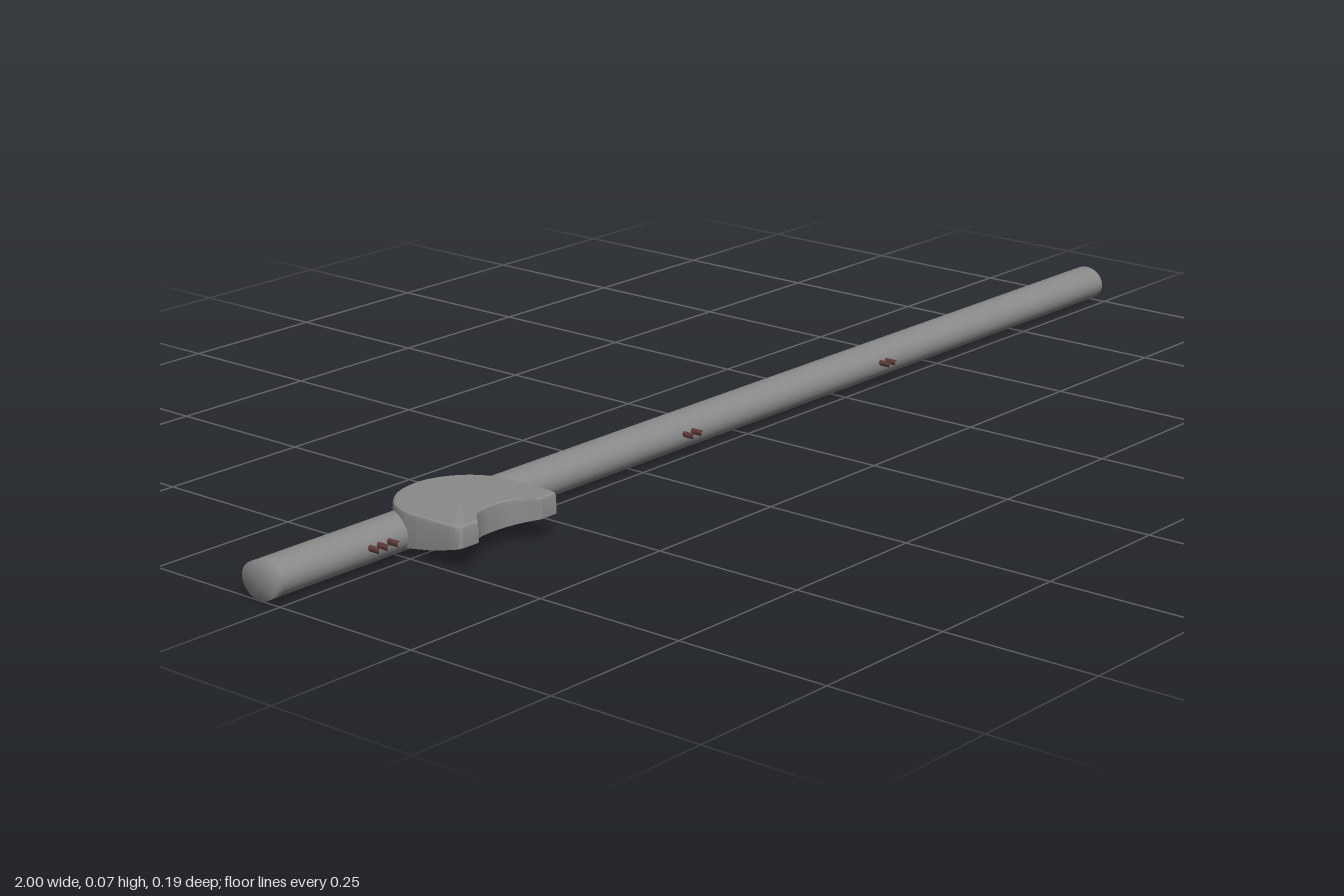
import * as THREE from 'three';
import { toCreasedNormals } from 'three/addons/utils/BufferGeometryUtils.js';

const grey = new THREE.MeshStandardMaterial({ color: 0x8a8a8a, side: THREE.DoubleSide });
const darkRed = new THREE.MeshStandardMaterial({ color: 0x5c3838 });

// Outline of the plate seen from above (x, z), with a concave notch in front
function plateOutline() {
  const s = new THREE.Shape();
  s.moveTo(0.103, 0.007);
  s.lineTo(0.103, 0.08);
  s.quadraticCurveTo(0.103, 0.094, 0.096, 0.095);
  s.lineTo(0.064, 0.096);
  s.bezierCurveTo(0.046, 0.071, 0.03, 0.062, 0, 0.062);
  s.bezierCurveTo(-0.03, 0.062, -0.046, 0.071, -0.064, 0.096);
  s.lineTo(-0.096, 0.095);
  s.quadraticCurveTo(-0.103, 0.094, -0.103, 0.08);
  s.lineTo(-0.103, 0.007);
  s.absarc(0, 0.007, 0.103, Math.PI, 2 * Math.PI, false);
  return s.getSpacedPoints(120).slice(0, -1);
}

// Height of the sloping underside along z, rounded up towards the back
function underside(z) {
  const p = [[-0.096, 0.037], [-0.088, 0.027], [-0.079, 0.019], [-0.068, 0.014],
    [-0.05, 0.012], [-0.01, 0.013], [0.045, 0.022], [0.096, 0.035]];
  const i = Math.max(1, p.findIndex(([pz]) => z <= pz + 1e-6));
  const t = (z - p[i - 1][0]) / (p[i][0] - p[i - 1][0]);
  return THREE.MathUtils.lerp(p[i - 1][1], p[i][1], t);
}

function plateGeometry() {
  const outline = plateOutline(), n = outline.length;
  // Rings from the top centre, over the bevelled rim and in along the underside
  const rings = [[0, 0.067], [0.95, 0.067], [0.985, 0.065], [1, 0.06]];
  for (const k of [1, 0.92, 0.84, 0.76, 0.65, 0.5, 0.25, 0]) rings.push([k, null]);
  const pos = [], index = [];
  rings.forEach(([k, y], i) => {
    outline.forEach((p, j) => {
      const z = p.y * k;
      pos.push(p.x * k, y ?? underside(z), z);
      if (i === rings.length - 1) return;
      const a = i * n + j, b = i * n + (j + 1) % n;
      if (i > 0) index.push(a, b, a + n);
      if (i < rings.length - 2) index.push(b, b + n, a + n);
    });
  });
  const g = new THREE.BufferGeometry();
  g.setAttribute('position', new THREE.Float32BufferAttribute(pos, 3));
  g.setIndex(index);
  return toCreasedNormals(g, 0.42);
}

// Thin pipe, closed with a soft-edged cap at -x and open at +x
function pipeGeometry() {
  const r = 0.034;
  const profile = [[0, -1], [r, -1], [r, -0.985], [r, 1]].map(([x, y]) => new THREE.Vector2(x, y));
  return new THREE.LatheGeometry(profile, 48).rotateZ(-Math.PI / 2).scale(1, 0.84, 1);
}

// Short pin that runs into the pipe and bends down at its inner end
function pinGeometry() {
  const path = new THREE.CurvePath();
  const v = (y, z) => new THREE.Vector3(0, y, z);
  path.add(new THREE.LineCurve3(v(0.034, 0.014), v(0.034, -0.03)));
  path.add(new THREE.QuadraticBezierCurve3(v(0.034, -0.03), v(0.034, -0.039), v(0.023, -0.039)));
  return new THREE.TubeGeometry(path, 20, 0.0045, 10, false);
}

export function createModel() {
  const model = new THREE.Group();
  const add = (name, geometry, material, x, y, z) => {
    const m = new THREE.Mesh(geometry, material);
    m.name = name;
    m.position.set(x, y, z);
    model.add(m);
  };

  add('pipe', pipeGeometry(), grey, 0, 0.0286, -0.04);

  // Notched rest plate
  add('restPlate', plateGeometry(), grey, -0.644, 0, 0);

  // Pins along the front of the pipe
  const pin = pinGeometry();
  for (const x of [-0.82, -0.803, -0.783, -0.493, -0.145, -0.125, 0.352, 0.368]) {
    add('pin', pin, darkRed, x, 0, 0);
  }
  return model;
}
